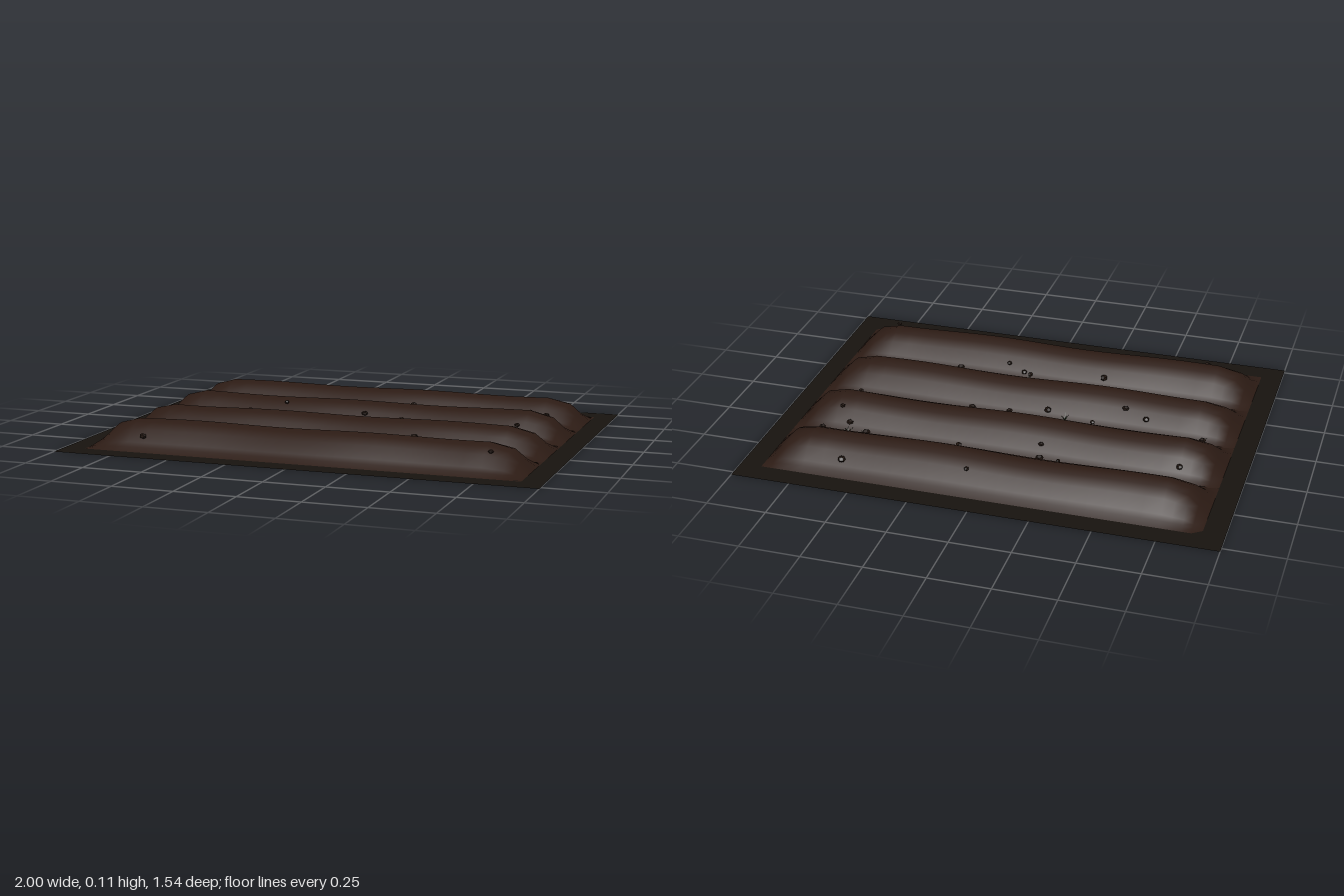
import * as THREE from 'three';

const soil = new THREE.MeshStandardMaterial({ color: 0x2c1b14, side: THREE.DoubleSide });
const ground = new THREE.MeshStandardMaterial({ color: 0x17130f, side: THREE.DoubleSide });
const clodMat = new THREE.MeshStandardMaterial({ color: 0x211610, flatShading: true });
const weedMat = new THREE.MeshStandardMaterial({ color: 0x1c2a14, side: THREE.DoubleSide });

const ROWS = [-0.5, -0.167, 0.167, 0.5];

// linear lookup in a list of [position, value] pairs
function lookup(table, t) {
  for (let i = 1; i < table.length; i++) {
    const [a, va] = table[i - 1], [b, vb] = table[i];
    if (t <= b) return va + (vb - va) * (t - a) / (b - a);
  }
  return 0;
}
const ACROSS = [[0, 0.108], [0.04, 0.099], [0.085, 0.074], [0.13, 0.031], [0.15, 0.015], [0.178, 0]];
const ALONG = [[0, 1], [0.74, 1], [0.83, 0.79], [0.91, 0]];

// height of one ridge at x and at distance dz from its crest
function ridgeHeight(x, dz, row) {
  const wobble = 1 + 0.03 * Math.sin(x * 8 + row * 1.9);
  return lookup(ACROSS, Math.abs(dz)) * lookup(ALONG, Math.abs(x)) * wobble;
}
function soilHeight(x, z) {
  return Math.max(...ROWS.map((r, i) => ridgeHeight(x, z - r, i)));
}

// seeded generator for clod and blade variation
let seed = 17;
const rand = () => (seed = (seed * 16807) % 2147483647) / 2147483647;

// ridge surface: a grid whose lines follow the profile stations
function makeRidge(row) {
  const xs = [-0.91, -0.87, -0.83, -0.785];
  for (let i = 0; i <= 20; i++) xs.push(-0.74 + i * 0.074);
  xs.push(0.785, 0.83, 0.87, 0.91);
  const half = ACROSS.map(p => p[0]);
  const zs = [...half.slice(1).reverse().map(v => -v), ...half];
  const geo = new THREE.PlaneGeometry(1, 1, xs.length - 1, zs.length - 1);
  const pos = geo.attributes.position;
  zs.forEach((z, j) => xs.forEach((x, i) => {
    const sway = 0.006 * Math.sin(x * 6 + row * 2) * (1 - Math.abs(z) / 0.178);
    pos.setXYZ(j * xs.length + i, x, ridgeHeight(x, z, row), z + sway);
  }));
  geo.computeVertexNormals();
  const mesh = new THREE.Mesh(geo, soil);
  mesh.position.z = ROWS[row];
  mesh.name = 'soilRidge' + (row + 1);
  return mesh;
}

// clod places on the bed [x, z]
const CLODS = [
  [0.06, -0.59], [0.58, -0.62], [-0.26, -0.38], [-0.18, -0.375], [0.16, -0.385], [-0.74, -0.29],
  [-0.16, -0.28], [0.57, -0.37], [0.76, -0.38], [0.67, -0.3], [0.72, -0.25], [-0.33, -0.1],
  [0.04, -0.065], [0.21, -0.05], [0.71, -0.06], [-0.785, -0.045], [-0.525, 0.05], [-0.43, 0.075],
  [-0.1, 0.035], [-0.26, 0.375], [0.07, 0.355], [0.1, 0.36], [0.175, 0.385], [0.37, 0.285],
  [-0.675, 0.62], [0.765, 0.575],
];
// weed places in the furrows [x, z]
const WEEDS = [[-0.78, 0], [-0.18, 0.02], [-0.19, 0.32], [0.67, -0.325], [0.59, -0.35], [0.08, 0.335]];

function makeWeed(x, z) {
  const weed = new THREE.Group();
  weed.name = 'weed';
  const blade = new THREE.Shape();
  blade.moveTo(-0.003, 0);
  blade.lineTo(0.003, 0);
  blade.lineTo(0, 0.032);
  const geo = new THREE.ShapeGeometry(blade);
  for (let i = 0; i < 5; i++) {
    const leaf = new THREE.Mesh(geo, weedMat);
    leaf.name = 'blade';
    leaf.rotation.set(0.4 + rand() * 0.5, i * 1.257 + rand() * 0.5, 0, 'YXZ');
    weed.add(leaf);
  }
  weed.position.set(x, soilHeight(x, z), z);
  return weed;
}

export function createModel() {
  const bed = new THREE.Group();
  bed.name = 'ploughedBed';

  // flat ground sheet
  const sheet = new THREE.Mesh(new THREE.PlaneGeometry(2, 1.545).rotateX(-Math.PI / 2), ground);
  sheet.name = 'groundSheet';
  bed.add(sheet);

  ROWS.forEach((_, i) => bed.add(makeRidge(i)));

  // loose clods resting on the slopes
  const clods = new THREE.Group();
  clods.name = 'clods';
  const clodGeo = new THREE.DodecahedronGeometry(1, 0);
  for (const [x, z] of CLODS) {
    const clod = new THREE.Mesh(clodGeo, clodMat);
    const r = 0.01 + rand() * 0.007;
    clod.name = 'clod';
    clod.scale.set(r * 1.1, r * 0.8, r);
    clod.rotation.y = rand() * 6.28;
    clod.position.set(x, soilHeight(x, z) + r * 1.1, z);
    clods.add(clod);
  }
  bed.add(clods);

  // small weeds in the furrows
  WEEDS.forEach(([x, z]) => bed.add(makeWeed(x, z)));
  return bed;
}
